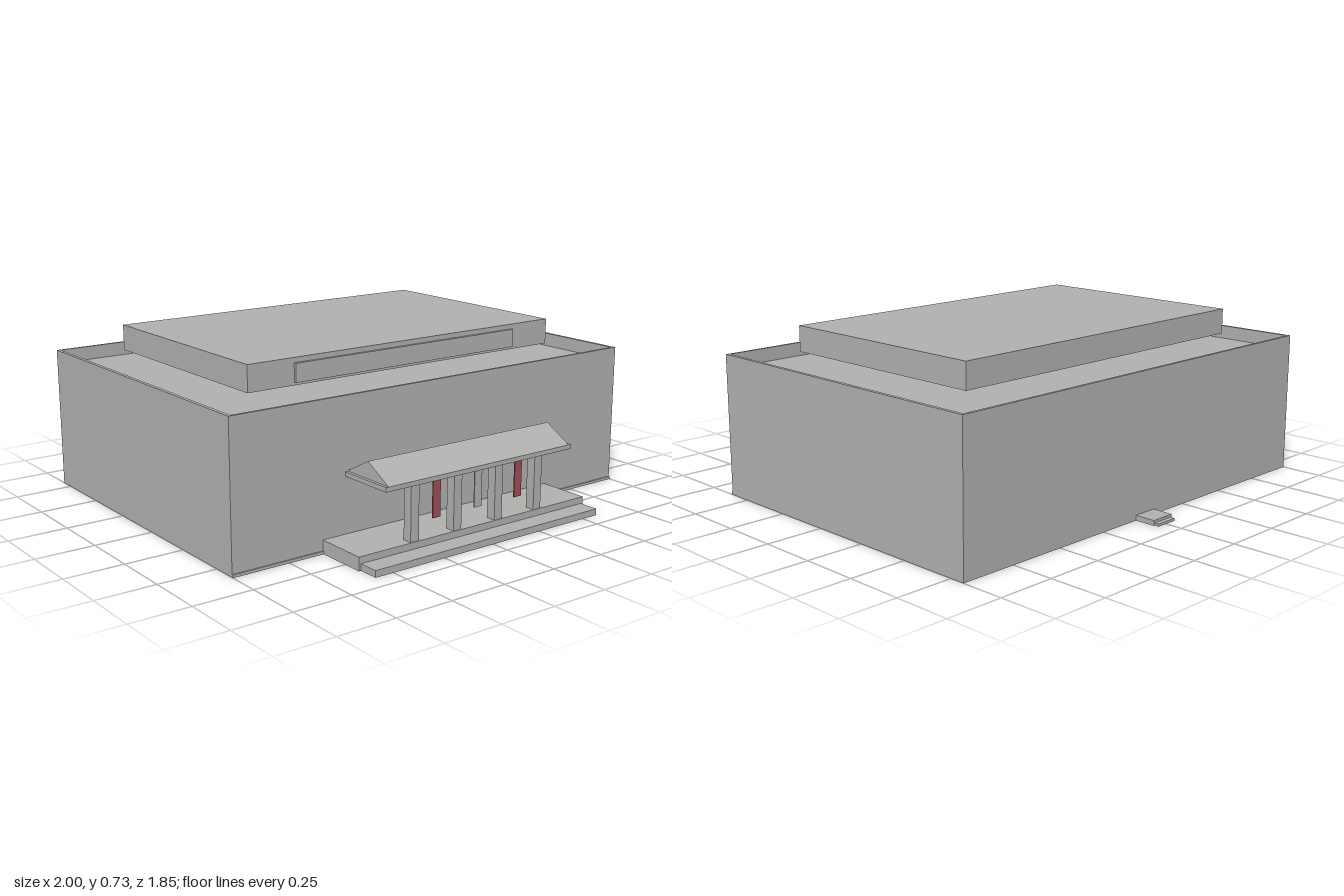
import * as THREE from 'three';

const stone = new THREE.MeshStandardMaterial({ color: 0xb0b0ae, side: THREE.DoubleSide });
stone.name = 'grey stone';
const red = new THREE.MeshStandardMaterial({ color: 0xa04d56, side: THREE.DoubleSide });
red.name = 'banner red';

export function createModel() {
  const model = new THREE.Group();
  model.name = 'building';

  const add = (name, geometry, material = stone) => {
    const mesh = new THREE.Mesh(geometry, material);
    mesh.name = name;
    model.add(mesh);
    return mesh;
  };

  // Box given by its extents; an open one has no underside
  const block = (name, [x0, x1], [y0, y1], [z0, z1], { open = false, material = stone } = {}) => {
    let geo = new THREE.BoxGeometry(x1 - x0, y1 - y0, z1 - z0);
    if (open) {
      // drop the bottom face, the fourth of six (six indices each)
      const index = Array.from(geo.index.array);
      index.splice(18, 6);
      geo.setIndex(index);
      geo.clearGroups();
    }
    geo.translate((x0 + x1) / 2, (y0 + y1) / 2, (z0 + z1) / 2);
    return add(name, geo, material);
  };

  // Main hall: thin walls and a sunken roof deck, open underneath
  const back = -0.815, front = 0.607, deck = 0.55, top = 0.608;
  block('hall', [-1, 1], [0, deck], [back, front], { open: true });

  // Parapet ring around the deck
  const rect = (Type, x, z0, z1) => {
    const p = new Type();
    p.moveTo(-x, -z0);
    p.lineTo(-x, -z1);
    p.lineTo(x, -z1);
    p.lineTo(x, -z0);
    p.closePath();
    return p;
  };
  const ring = rect(THREE.Shape, 1, back, front);
  ring.holes.push(rect(THREE.Path, 0.985, back + 0.012, front - 0.012));
  const parapet = new THREE.ExtrudeGeometry(ring, { depth: top - deck, bevelEnabled: false });
  parapet.rotateX(-Math.PI / 2);
  parapet.translate(0, deck, 0);
  add('parapet', parapet);

  // Raised upper roof with its front panel
  block('upperRoof', [-0.783, 0.78], [0.618, 0.728], [-0.602, 0.393]);
  block('upperRoofPanel', [-0.57, 0.568], [0.63, 0.707], [0.393, 0.405]);

  // Plinth strips beside the portico
  block('plinthRight', [-1, -0.593], [0, 0.012], [front, front + 0.006]);
  block('plinthLeft', [0.588, 1], [0, 0.012], [front, front + 0.006]);

  // Portico platform and front step
  block('platform', [-0.593, 0.588], [0, 0.056], [front, 0.835], { open: true });
  block('frontStep', [-0.583, 0.578], [0, 0.028], [0.835, 0.922], { open: true });

  // Square columns with banners hung between them
  for (const x of [-0.325, -0.11, 0.105, 0.32])
    block('column', [x - 0.02, x + 0.02], [0.056, 0.29], [0.79, 0.832]);
  for (const [x, material] of [[-0.216, red], [-0.003, stone], [0.211, red]])
    block('banner', [x - 0.019, x + 0.019], [0.13, 0.278], [0.825, 0.83], { material });

  // Portico slab and gabled roof, ridge along x
  block('porticoSlab', [-0.485, 0.48], [0.289, 0.308], [front, 0.856]);
  const gable = new THREE.Shape([[-0.6, 0.308], [-0.73, 0.377], [-0.855, 0.308]]
    .map(([x, y]) => new THREE.Vector2(x, y)));
  const roof = new THREE.ExtrudeGeometry(gable, { depth: 0.94, bevelEnabled: false });
  roof.rotateY(Math.PI / 2);
  roof.translate(-0.472, 0, 0);
  add('porticoRoof', roof);

  // Back door steps
  block('backStepUpper', [-0.06, 0.053], [0, 0.022], [-0.905, back], { open: true });
  block('backStepLower', [-0.054, 0.048], [0, 0.011], [-0.925, -0.905], { open: true });

  return model;
}
